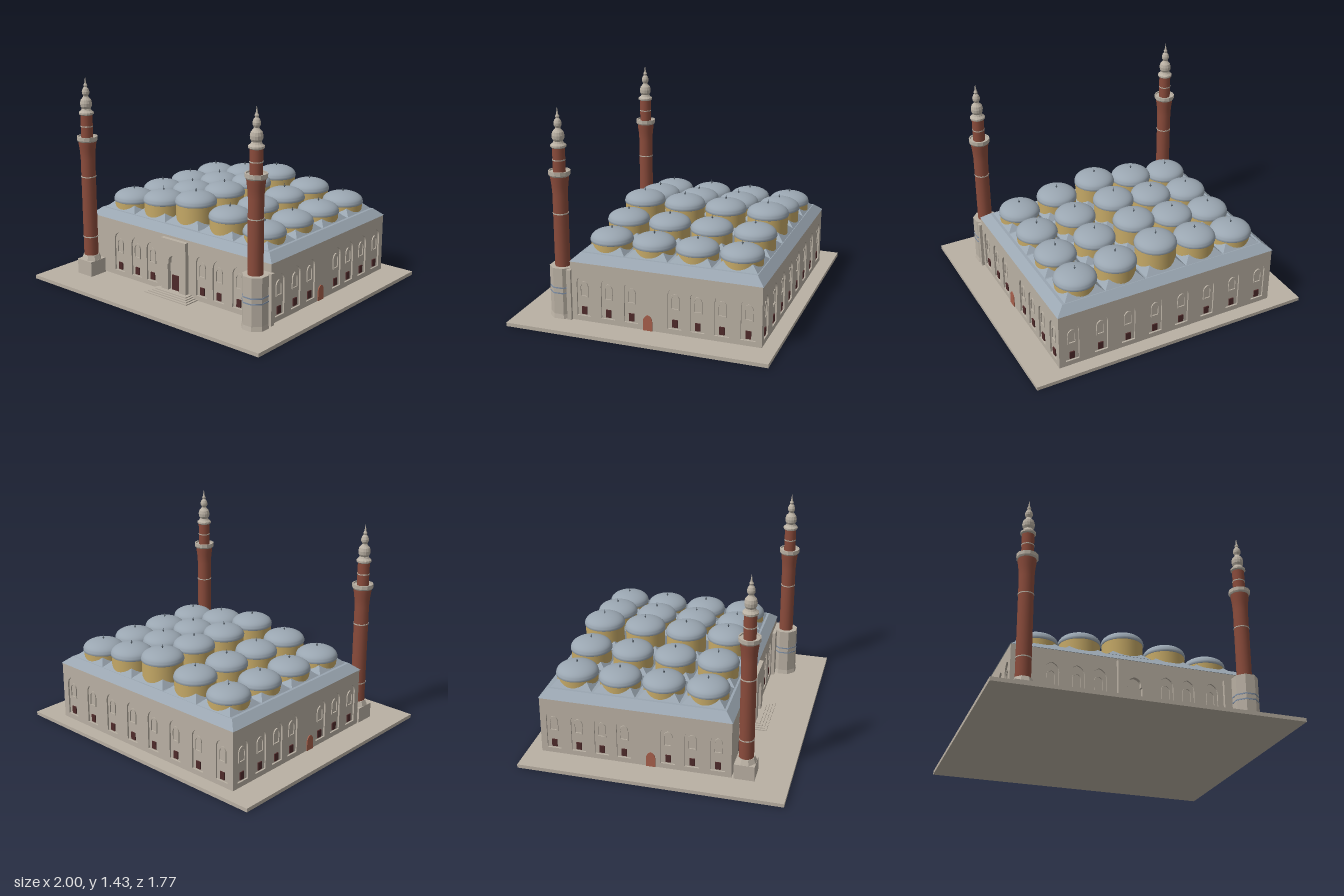
import * as THREE from 'three';

const mat = (name, color, flat = false) => {
  const m = new THREE.MeshStandardMaterial({ color, flatShading: flat });
  m.name = name;
  return m;
};

export function createModel() {
  const model = new THREE.Group();
  model.name = 'domedHall';
  const stone = mat('stone', 0xb9b0a3, true);
  const lead = mat('leadRoof', 0x9aa6b1);
  const gold = mat('goldDrum', 0xc4a866);
  const brick = mat('brick', 0x8a4b3b);
  const dark = mat('darkWindow', 0x4e2a2a);
  const doorRed = mat('terracottaDoor', 0xa65f4b);
  const blue = mat('blueBand', 0x8292a8);
  const iron = mat('finialMetal', 0x56606a);

  const add = (parent, name, geo, material, x = 0, y = 0, z = 0) => {
    const m = new THREE.Mesh(geo, material);
    m.name = name;
    m.position.set(x, y, z);
    parent.add(m);
    return m;
  };
  // Box given by its ranges
  const box = (parent, name, material, x0, x1, y0, y1, z0, z1) =>
    add(parent, name, new THREE.BoxGeometry(x1 - x0, y1 - y0, z1 - z0), material,
      (x0 + x1) / 2, (y0 + y1) / 2, (z0 + z1) / 2);
  const lathe = (pts, seg) => new THREE.LatheGeometry(pts.map(p => new THREE.Vector2(...p)), seg);
  // Slightly pointed arch outline
  const arch = (T, x, w, y0, spring, top) => {
    const s = new T();
    s.moveTo(x - w, y0);
    s.lineTo(x + w, y0);
    s.lineTo(x + w, spring);
    s.quadraticCurveTo(x + w, top - (top - spring) * 0.25, x, top);
    s.quadraticCurveTo(x - w, top - (top - spring) * 0.25, x - w, spring);
    s.closePath();
    return s;
  };
  const rect = (x0, x1, y0, y1) => new THREE.Shape([[x0, y0], [x1, y0], [x1, y1], [x0, y1]]
    .map(p => new THREE.Vector2(...p)));
  const extrude = (s, depth) => new THREE.ExtrudeGeometry(s, { depth, bevelEnabled: false, curveSegments: 6 });

  const G = 0.025, EAVE = 0.43, X = 0.8, ZF = 0.507, ZB = -0.787, ZC = (ZF + ZB) / 2, D = 0.012;
  box(model, 'groundSlab', stone, -1, 1, 0, G, -0.885, 0.885);
  box(model, 'hallCore', stone, -X + D, X - D, G, EAVE, ZB + D, ZF - D);

  // Outer wall skin with arched niches, small blind arches and windows
  function wall(name, half, px, pz, rot, spots, doorAt) {
    const g = new THREE.Group();
    g.name = name;
    const skin = rect(-half, half, G, EAVE);
    spots.forEach(x => skin.holes.push(arch(THREE.Path, x, 0.048, 0.06, 0.28, 0.345)));
    add(g, 'wallSkin', extrude(skin, D), stone, 0, 0, -D);
    spots.forEach(x => {
      const frame = arch(THREE.Shape, x, 0.03, 0.19, 0.26, 0.3);
      frame.holes.push(arch(THREE.Path, x, 0.022, 0.198, 0.255, 0.288));
      add(g, 'blindArch', extrude(frame, 0.008), stone, 0, 0, -D);
      box(g, 'window', dark, x - 0.018, x + 0.018, 0.07, 0.122, -D, -D + 0.008);
    });
    if (doorAt !== undefined) {
      add(g, 'sideDoor', extrude(arch(THREE.Shape, doorAt, 0.031, G, 0.085, 0.132), 0.006), doorRed);
    }
    g.position.set(px, 0, pz);
    g.rotation.y = rot;
    model.add(g);
  }
  const mirror = a => a.flatMap(v => [v, -v]);
  wall('frontWall', X, 0, ZF, 0, mirror([0.225, 0.37, 0.535]));
  wall('backWall', X, 0, ZB, Math.PI, mirror([0.1, 0.3, 0.5, 0.705]));
  const sideZ = [0.417, 0.246, 0.085, -0.213, -0.365, -0.526, -0.697];
  for (const s of [1, -1]) {
    wall(s > 0 ? 'leftWall' : 'rightWall', (ZF - ZB) / 2 - D, s * X, ZC, s * Math.PI / 2,
      sideZ.map(z => -s * (z - ZC)), -s * (-0.03 - ZC));
  }

  // Sloping roof skirt: a box whose top is drawn in
  const roof = new THREE.BoxGeometry(2 * X + 0.01, 0.05, ZF - ZB + 0.01).toNonIndexed();
  const rp = roof.attributes.position;
  for (let i = 0; i < rp.count; i++) {
    if (rp.getY(i) > 0) {
      rp.setX(i, Math.sign(rp.getX(i)) * 0.745);
      rp.setZ(i, Math.sign(rp.getZ(i)) * 0.597);
    }
  }
  roof.computeVertexNormals();
  add(model, 'roofSkirt', roof, lead, 0, EAVE + 0.025, ZC);

  // Domed bays: pyramid base, gold drum, rim band, dome and finial
  const bayBase = new THREE.CylinderGeometry(0.09 * Math.SQRT2, 0.147 * Math.SQRT2, 0.055, 4)
    .rotateY(Math.PI / 4).toNonIndexed();
  bayBase.computeVertexNormals();
  const dome = [[0.136, 0], [0.142, 0.003], [0.142, 0.016], [0.14, 0.018]];
  for (let i = 1; i <= 10; i++) {
    const a = i / 10 * Math.PI / 2;
    dome.push([i === 10 ? 0 : 0.14 * Math.cos(a), 0.018 + 0.062 * Math.sin(a)]);
  }
  const domeGeo = lathe(dome, 32);
  const finialGeo = lathe([[0.003, 0], [0.003, 0.006], [0.007, 0.011], [0.003, 0.016], [0, 0.032]], 8);
  const columns = [[-0.585, 0.474, 0.53], [-0.297, 0.476, 0.572], [0, 0.486, 0.618],
    [0.297, 0.476, 0.572], [0.585, 0.474, 0.53]];
  for (const [x, y0, rim] of columns) {
    for (const z of [-0.59, -0.293, 0.004, 0.301]) {
      const bay = new THREE.Group();
      bay.name = 'domedBay';
      bay.position.set(x, 0, z);
      model.add(bay);
      add(bay, 'bayBase', bayBase, lead, 0, y0 + 0.0275, 0);
      add(bay, 'drum', new THREE.CylinderGeometry(0.136, 0.136, rim - y0 + 0.01, 32, 1, true), gold,
        0, (rim + y0 + 0.002) / 2, 0);
      add(bay, 'dome', domeGeo, lead, 0, rim, 0);
      add(bay, 'finial', finialGeo, iron, 0, rim + 0.078, 0);
    }
  }

  // Front portal with a stepped arch recess, door and stairs
  const portal = rect(-0.11, 0.11, G, 0.412);
  const recess = new THREE.Path();
  recess.moveTo(-0.05, 0.05);
  recess.lineTo(0.05, 0.05);
  recess.lineTo(0.05, 0.235);
  recess.lineTo(0.042, 0.24);
  recess.lineTo(0.042, 0.265);
  recess.quadraticCurveTo(0.036, 0.295, 0, 0.303);
  recess.quadraticCurveTo(-0.036, 0.295, -0.042, 0.265);
  recess.lineTo(-0.042, 0.24);
  recess.lineTo(-0.05, 0.235);
  recess.closePath();
  portal.holes.push(recess);
  add(model, 'portal', extrude(portal, 0.03), stone, 0, 0, ZF - 0.001);
  box(model, 'portalDoor', dark, -0.032, 0.032, 0.05, 0.157, ZF, ZF + 0.008);
  for (let i = 0; i < 4; i++) {
    const w = 0.19 - i * 0.018;
    box(model, 'stair', stone, -w, w, G, G + 0.0065 * (i + 1), ZF, 0.622 - i * 0.018);
  }

  // Minarets
  function minaret(x, bottom) {
    const g = new THREE.Group();
    g.name = 'minaret';
    g.position.set(x, 0, 0.59);
    model.add(g);
    add(g, 'shaft', lathe([[0.05, bottom], [0.05, 0.86], [0.054, 0.92], [0.06, 0.965], [0.061, 0.99]], 16), brick);
    for (const y of [0.3, 0.735]) {
      add(g, 'shaftRing', new THREE.CylinderGeometry(0.0525, 0.0525, 0.007, 16), stone, 0, y, 0);
    }
    add(g, 'balcony', lathe([[0, 0.985], [0.066, 0.985], [0.072, 0.995], [0.072, 1.02], [0.064, 1.02],
      [0.064, 1.01], [0, 1.01]], 12), stone);
    add(g, 'upperShaft', new THREE.CylinderGeometry(0.041, 0.041, 0.17, 16), brick, 0, 1.09, 0);
    add(g, 'upperRing', new THREE.CylinderGeometry(0.043, 0.043, 0.007, 16), stone, 0, 1.09, 0);
    add(g, 'spire', lathe([[0, 1.168], [0.042, 1.168], [0.051, 1.175], [0.051, 1.187], [0.036, 1.2],
      [0.03, 1.212], [0.039, 1.228], [0.041, 1.25], [0.036, 1.272], [0.02, 1.29], [0.016, 1.298],
      [0.025, 1.315], [0.026, 1.33], [0.02, 1.348], [0.01, 1.36], [0.014, 1.372], [0.007, 1.385],
      [0.005, 1.4], [0, 1.432]], 14), stone);
    return g;
  }
  const oct = (apTop, apBottom, h) =>
    new THREE.CylinderGeometry(apTop / Math.cos(Math.PI / 8), apBottom / Math.cos(Math.PI / 8), h, 8)
      .rotateY(Math.PI / 8);

  // Right minaret on a low square base
  const right = minaret(-0.737, 0.16);
  box(right, 'squareBase', stone, -0.068, 0.068, G, 0.132, -0.068, 0.068);
  add(right, 'baseShoulder', oct(0.052, 0.066, 0.035), stone, 0, 0.149, 0);

  // Left minaret on a tall octagonal base with blue bands
  const left = minaret(0.74, 0.37);
  add(left, 'octagonBase', oct(0.079, 0.079, 0.35), stone, 0, 0.2, 0);
  add(left, 'baseFoot', oct(0.079, 0.085, 0.03), stone, 0, G + 0.015, 0);
  for (const y of [0.203, 0.24]) add(left, 'blueBand', oct(0.0805, 0.0805, 0.009), blue, 0, y, 0);
  box(left, 'buttress', stone, -0.118, 0.08, G, 0.373, -0.09, -0.06);
  return model;
}
